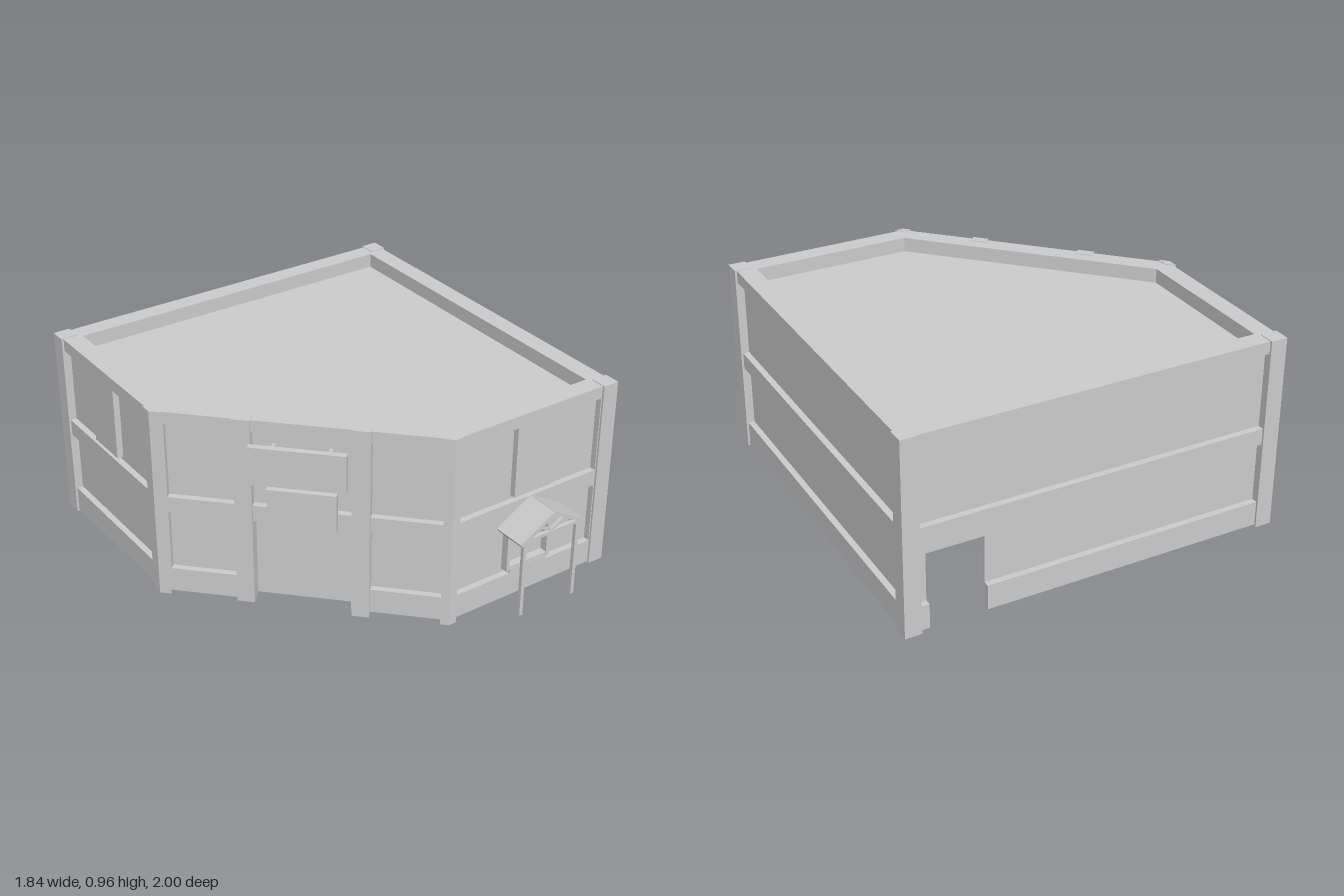
import * as THREE from 'three';

const mat = new THREE.MeshStandardMaterial({ color: 0xcccccc, flatShading: true, side: THREE.DoubleSide });
const BASE = 0.03, TOP = 0.96, RECESS = 0.03;

// Footprint corners [x, z], each wall running left to right as seen from outside
const FOOT = [[0.02, 0.835], [0.91, 0.835], [0.91, -0.99], [-0.91, -0.99], [-0.91, -0.10]];

function add(parent, name, geometry) {
  const m = new THREE.Mesh(geometry, mat);
  m.name = name;
  parent.add(m);
  return m;
}

// Box given by its limits on each axis
function box(parent, name, x0, x1, y0, y1, z0, z1) {
  const m = add(parent, name, new THREE.BoxGeometry(x1 - x0, y1 - y0, z1 - z0));
  m.position.set((x0 + x1) / 2, (y0 + y1) / 2, (z0 + z1) / 2);
  return m;
}

// Straight bar between two points in the xy plane
function bar(parent, name, x0, y0, x1, y1, thick, z0, z1) {
  const m = add(parent, name, new THREE.BoxGeometry(Math.hypot(x1 - x0, y1 - y0), thick, z1 - z0));
  m.position.set((x0 + x1) / 2, (y0 + y1) / 2, (z0 + z1) / 2);
  m.rotation.z = Math.atan2(y1 - y0, x1 - x0);
  return m;
}

function direction(a, b) {
  const l = Math.hypot(b[0] - a[0], b[1] - a[1]);
  return [(b[0] - a[0]) / l, (b[1] - a[1]) / l];
}

// Footprint moved inwards by d
function inset(pts, d) {
  const n = pts.length;
  return pts.map((p, i) => {
    const u = direction(pts[(i + n - 1) % n], p), v = direction(p, pts[(i + 1) % n]);
    const k = d / (1 + u[0] * v[0] + u[1] * v[1]);
    return [p[0] + (u[1] + v[1]) * k, p[1] - (u[0] + v[0]) * k];
  });
}

// Plan outline extruded from y0 to y1, with an optional hole
function prism(parent, name, pts, y0, y1, hole) {
  const toVec = (list) => list.map(([x, z]) => new THREE.Vector2(x, -z));
  const shape = new THREE.Shape(toVec(pts));
  if (hole) shape.holes.push(new THREE.Path(toVec(hole)));
  const g = new THREE.ExtrudeGeometry(shape, { depth: y1 - y0, bevelEnabled: false });
  g.rotateX(-Math.PI / 2);
  add(parent, name, g).position.y = y0;
}

// Wall of bands and stiles around recessed bays; local x runs along it, z outwards
function wall(parent, name, a, b, bays, gap) {
  const g = new THREE.Group();
  g.name = name;
  g.position.set(a[0], 0, a[1]);
  g.rotation.y = Math.atan2(a[1] - b[1], b[0] - a[0]);
  parent.add(g);
  const len = Math.hypot(b[0] - a[0], b[1] - a[1]);
  const cut = (s0, s1) => (gap && gap[0] < s1 && gap[1] > s0
    ? [[s0, gap[0]], [gap[1], s1]] : [[s0, s1]]).filter(([p, q]) => q - p > 0.001);

  box(g, 'topBand', 0, len, 0.9, TOP, -RECESS, 0);
  box(g, 'middleBand', 0, len, 0.45, 0.53, -RECESS, 0);
  cut(0, len).forEach(([p, q]) => box(g, 'plinth', p, q, BASE, 0.15, -RECESS, 0));

  const edges = [0, ...bays.flat(), len];
  for (let i = 0; i < edges.length; i += 2) {
    box(g, 'lowerStile', edges[i], edges[i + 1], 0.15, 0.45, -RECESS, 0);
    box(g, 'upperStile', edges[i], edges[i + 1], 0.53, 0.9, -RECESS, 0);
  }
  for (const [s0, s1] of bays) {
    box(g, 'upperPanel', s0, s1, 0.53, 0.9, -RECESS - 0.01, -RECESS);
    cut(s0, s1).forEach(([p, q]) => box(g, 'lowerPanel', p, q, 0.15, 0.45, -RECESS - 0.01, -RECESS));
  }
  if (gap && gap[2] < 0.45) box(g, 'lintel', gap[0], gap[1], gap[2], 0.45, -RECESS - 0.01, -RECESS);
  return g;
}

// Gabled porch, centred on local x = 0 with the wall at z = 0
function porch() {
  const g = new THREE.Group();
  g.name = 'porch';
  for (const s of [-1, 1]) {
    bar(g, 'porchRoof', 0, 0.522, s * 0.182, 0.415, 0.018, 0, 0.165);
    box(g, 'porchPost', s * 0.15 - 0.009, s * 0.15 + 0.009, 0.03, 0.42, 0.135, 0.153);
    bar(g, 'trussWeb', 0, 0.425, s * 0.075, 0.47, 0.012, 0.135, 0.15);
    box(g, 'sideBeam', s * 0.15 - 0.009, s * 0.15 + 0.009, 0.405, 0.425, 0, 0.15);
    box(g, 'windowJamb', s * 0.115 - 0.008, s * 0.115 + 0.008, 0.17, 0.42, -RECESS, 0.008);
  }
  box(g, 'tieBeam', -0.165, 0.165, 0.41, 0.426, 0.135, 0.153);
  box(g, 'windowHead', -0.115, 0.115, 0.405, 0.42, -RECESS, 0.008);
  box(g, 'windowRail', -0.115, 0.115, 0.18, 0.192, -RECESS, 0.008);
  box(g, 'windowSill', -0.105, 0.105, 0.155, 0.178, -RECESS, 0.008);
  return g;
}

export function createModel() {
  const model = new THREE.Group();
  model.name = 'building';
  const [F0, F1, F2, F3, F4] = FOOT;

  // Outer walls
  const front = wall(model, 'frontWall', F0, F1, [[0.03, 0.815]]);
  wall(model, 'sideWall', F1, F2, [[0.065, 1.755]]);
  wall(model, 'backWall', F2, F3, [[0.07, 1.75]], [0.11, 0.38, 0.38]);
  const side = wall(model, 'shortSideWall', F3, F4, [[0.07, 0.835]]);
  const angled = wall(model, 'angledWall', F4, F0,
    [[0.055, 0.36], [0.44, 0.88], [0.965, 1.285]], [0.44, 0.88, 0.45]);

  // Flush piers inside the upper panels
  box(front, 'upperPier', 0.345, 0.555, 0.55, 0.9, -RECESS, 0);
  box(side, 'upperPier', 0.33, 0.54, 0.55, 0.9, -RECESS, 0);

  // Deep entrance in the angled wall
  box(angled, 'entrancePanel', 0.44, 0.88, BASE, 0.45, -0.07, -0.06);
  box(angled, 'entranceJamb', 0.43, 0.44, BASE, 0.45, -0.07, 0);
  box(angled, 'entranceJamb', 0.88, 0.89, BASE, 0.45, -0.07, 0);
  box(angled, 'entranceHead', 0.44, 0.88, 0.45, 0.46, -0.07, -RECESS);

  // Pillars and boards on the angled wall
  box(angled, 'pillar', 0.36, 0.44, 0.02, 0.963, -RECESS, 0.012);
  box(angled, 'pillar', 0.885, 0.963, 0.005, 0.963, -RECESS, 0.012);
  box(angled, 'upperBoard', 0.44, 0.87, 0.68, 0.865, 0.038, 0.068);
  box(angled, 'lowerBoard', 0.51, 0.82, 0.455, 0.64, 0.003, 0.033);
  for (const s of [0.53, 0.78]) box(angled, 'boardBracket', s, s + 0.015, 0.7, 0.84, -RECESS, 0.04);

  // Corner pillars standing slightly proud of the walls: [width, foot height]
  const outer = inset(FOOT, -0.01);
  [[0.04, 0.01], [0.08, 0.025], [0.08, 0.02], [0.08, 0.02], [0.055, 0.015]].forEach(([w, foot], i) => {
    const c = outer[i], u = direction(c, outer[(i + 1) % 5]), v = direction(c, outer[(i + 4) % 5]);
    const at = (p, q) => [c[0] + (u[0] * p + v[0] * q) * w, c[1] + (u[1] * p + v[1] * q) * w];
    prism(model, 'cornerPillar', [at(0, 0), at(1, 0), at(1, 1), at(0, 1)], foot, 0.963);
  });

  // Parapet and sunken roof
  const inner = inset(FOOT, 0.09);
  prism(model, 'parapet', inset(FOOT, RECESS), 0.88, TOP, inner);
  prism(model, 'roof', inner, 0.88, 0.89);

  const entry = porch();
  entry.position.set(0.46, 0, 0.835);
  model.add(entry);
  return model;
}
